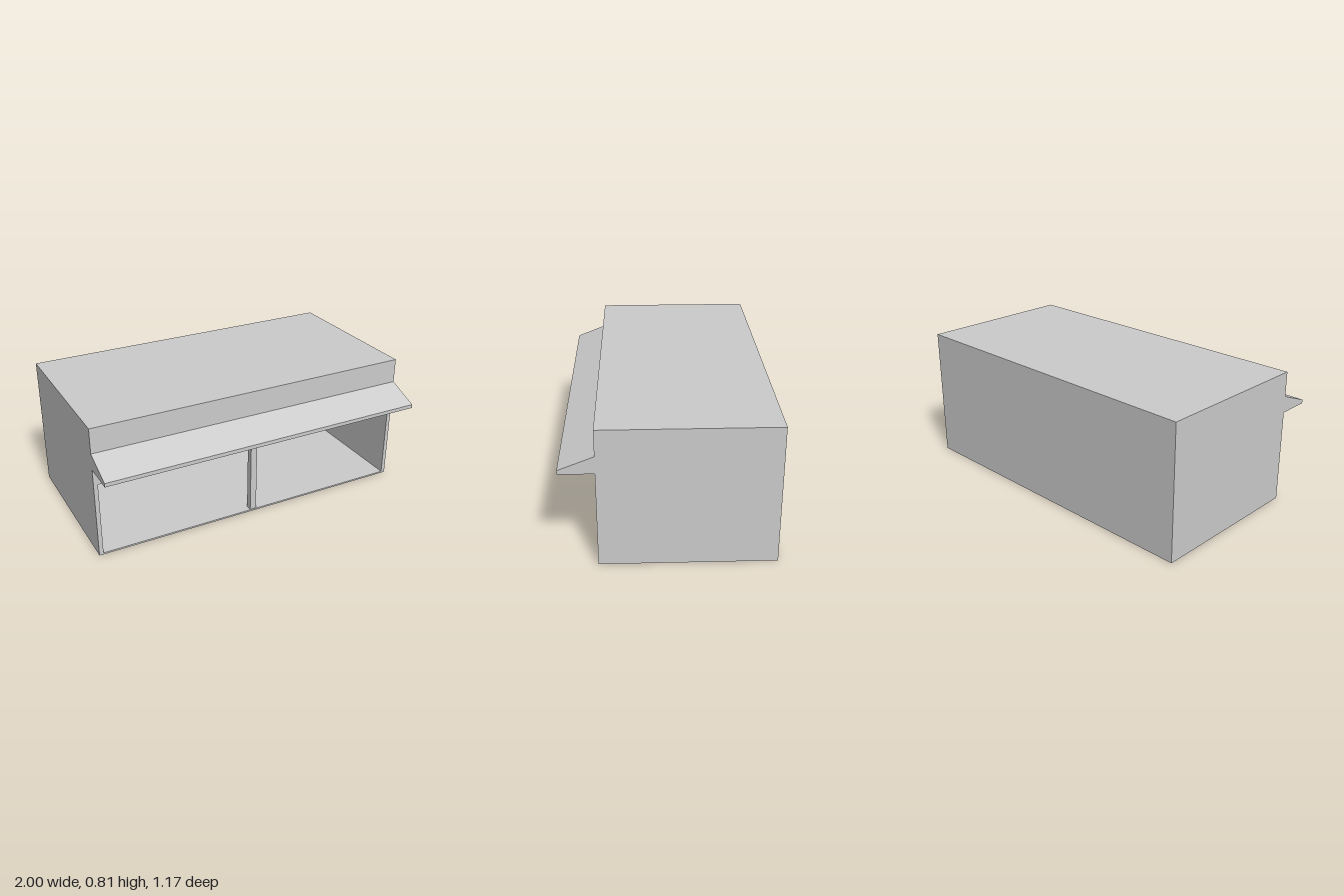
import * as THREE from 'three';

const W = 1, H = 0.81, ZF = 0.39, ZB = -0.585; // outer half width, height, front, back
const IW = 0.975, FLOOR = 0.01, TOP = 0.515, ZI = -0.48, BACK_TOP = 0.44; // inner room

const material = new THREE.MeshStandardMaterial({ color: 0xcccccc, side: THREE.DoubleSide });

function addMesh(parent, name, geometry) {
  const mesh = new THREE.Mesh(geometry, material);
  mesh.name = name;
  parent.add(mesh);
  return mesh;
}

// Flat panel from four corners, counter-clockwise seen from its front
function addPanel(parent, name, a, b, c, d) {
  const g = new THREE.BufferGeometry();
  g.setAttribute('position', new THREE.Float32BufferAttribute([a, b, c, a, c, d].flat(), 3));
  g.computeVertexNormals();
  return addMesh(parent, name, g);
}

function polygon(points) {
  return new THREE.Shape(points.map(([x, y]) => new THREE.Vector2(x, y)));
}

export function createModel() {
  const model = new THREE.Group();
  model.name = 'garage';

  // Outer shell, open underneath
  const shell = new THREE.Group();
  shell.name = 'outerShell';
  model.add(shell);
  addPanel(shell, 'roof', [-W, H, ZF], [W, H, ZF], [W, H, ZB], [-W, H, ZB]);
  addPanel(shell, 'backWall', [W, 0, ZB], [-W, 0, ZB], [-W, H, ZB], [W, H, ZB]);
  addPanel(shell, 'leftWall', [W, 0, ZF], [W, 0, ZB], [W, H, ZB], [W, H, ZF]);
  addPanel(shell, 'rightWall', [-W, 0, ZB], [-W, 0, ZF], [-W, H, ZF], [-W, H, ZB]);

  // Front wall with one wide opening
  const front = polygon([[-W, 0], [W, 0], [W, H], [-W, H]]);
  front.holes.push(polygon([[-IW, FLOOR], [-IW, TOP], [IW, TOP], [IW, FLOOR]]));
  addMesh(shell, 'frontWall', new THREE.ShapeGeometry(front)).position.z = ZF;

  // Inner room, with a ceiling that drops toward the back
  const room = new THREE.Group();
  room.name = 'innerRoom';
  model.add(room);
  addPanel(room, 'floor', [-IW, FLOOR, ZF], [IW, FLOOR, ZF], [IW, FLOOR, ZI], [-IW, FLOOR, ZI]);
  addPanel(room, 'innerBackWall', [-IW, FLOOR, ZI], [IW, FLOOR, ZI], [IW, BACK_TOP, ZI], [-IW, BACK_TOP, ZI]);
  addPanel(room, 'ceiling', [-IW, BACK_TOP, ZI], [IW, BACK_TOP, ZI], [IW, TOP, ZF], [-IW, TOP, ZF]);
  addPanel(room, 'innerLeftWall', [IW, FLOOR, ZI], [IW, FLOOR, ZF], [IW, TOP, ZF], [IW, BACK_TOP, ZI]);
  addPanel(room, 'innerRightWall', [-IW, FLOOR, ZF], [-IW, FLOOR, ZI], [-IW, BACK_TOP, ZI], [-IW, TOP, ZF]);

  // Lintel and centre post in one piece, with rounded inner corners
  const p = 0.02, low = 0.46, r = 0.02;
  const tee = new THREE.Shape();
  tee.moveTo(-p, FLOOR);
  tee.lineTo(p, FLOOR);
  tee.lineTo(p, low - r);
  tee.quadraticCurveTo(p, low, p + r, low);
  tee.lineTo(IW, low);
  tee.lineTo(IW, TOP);
  tee.lineTo(-IW, TOP);
  tee.lineTo(-IW, low);
  tee.lineTo(-p - r, low);
  tee.quadraticCurveTo(-p, low, -p, low - r);
  tee.closePath();
  const frame = new THREE.ExtrudeGeometry(tee, { depth: 0.04, bevelEnabled: false, curveSegments: 5 });
  addMesh(model, 'lintelAndPost', frame).position.z = ZF - 0.045;

  // Sloping canopy: side profile (z, y) swept across the full width
  const profile = polygon([[-ZF, 0.56], [-ZF, 0.66], [-0.585, 0.583], [-0.585, 0.56]]);
  const canopy = new THREE.ExtrudeGeometry(profile, { depth: 2 * W, bevelEnabled: false });
  canopy.rotateY(Math.PI / 2);
  canopy.translate(-W, 0, 0);
  addMesh(model, 'canopy', canopy);

  return model;
}
